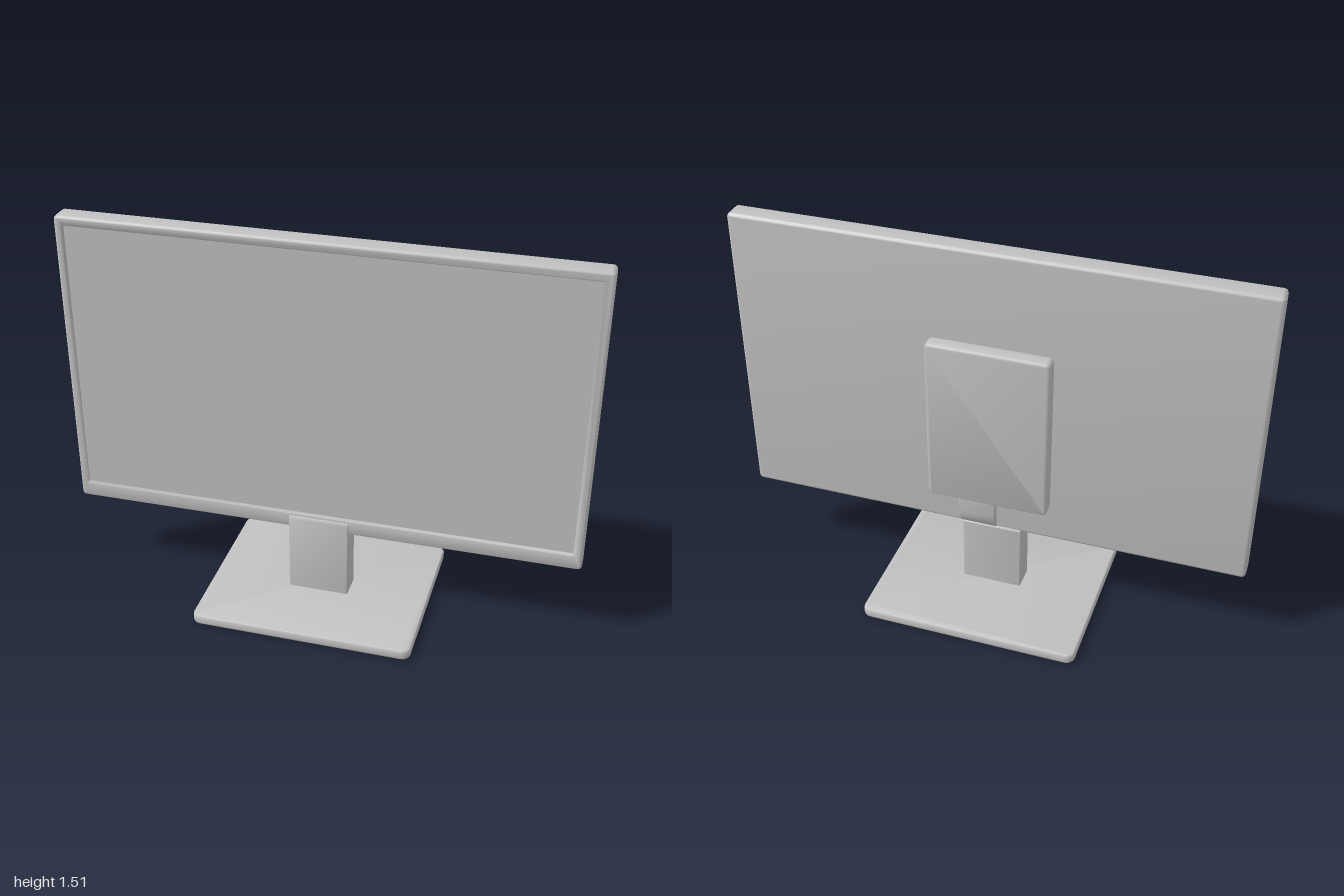
import * as THREE from 'three';
import { toCreasedNormals } from 'three/addons/utils/BufferGeometryUtils.js';

const grey = new THREE.MeshStandardMaterial({ color: 0xc0c0c0 });
grey.name = 'light grey plastic';

// Outline of a rectangle with rounded corners, counter-clockwise
function roundedRect(x0, x1, y0, y1, r, steps = 4) {
  const points = [];
  const corners = [[x1 - r, y1 - r], [x0 + r, y1 - r], [x0 + r, y0 + r], [x1 - r, y0 + r]];
  corners.forEach(([cx, cy], i) => {
    for (let k = 0; k <= steps; k++) {
      const a = (i + k / steps) * Math.PI / 2;
      points.push(new THREE.Vector2(cx + r * Math.cos(a), cy + r * Math.sin(a)));
    }
  });
  return points;
}

// Skin over successive rounded rectangles [x0, x1, y0, y1, radius, z], capped at both ends
function loft(sections) {
  const rings = sections.map(([x0, x1, y0, y1, r, z]) =>
    roundedRect(x0, x1, y0, y1, r).map(p => new THREE.Vector3(p.x, p.y, z)));
  const n = rings[0].length;
  const pos = [];
  const tri = (...v) => v.forEach(p => pos.push(p.x, p.y, p.z));
  for (let s = 0; s < rings.length - 1; s++) {
    const a = rings[s], b = rings[s + 1];
    for (let i = 0; i < n; i++) {
      const j = (i + 1) % n;
      tri(a[i], a[j], b[j]);
      tri(a[i], b[j], b[i]);
    }
  }
  const first = rings[0], last = rings[rings.length - 1];
  for (let i = 1; i < n - 1; i++) {
    tri(first[0], first[i + 1], first[i]);
    tri(last[0], last[i], last[i + 1]);
  }
  const g = new THREE.BufferGeometry();
  g.setAttribute('position', new THREE.Float32BufferAttribute(pos, 3));
  return toCreasedNormals(g, 0.6);
}

// Sections of a quarter-round edge; dir -1 opens from the back, +1 closes to the front
function edge(x0, x1, y0, y1, r, z, round, dir) {
  const out = [];
  for (let k = 0; k <= 4; k++) {
    const a = (dir < 0 ? 4 - k : k) / 4 * Math.PI / 2;
    const inset = round * (1 - Math.cos(a));
    out.push([x0 + inset, x1 - inset, y0 + inset, y1 - inset,
      Math.max(r - inset, 0.001), z + dir * round * (Math.sin(a) - 1)]);
  }
  return out;
}

// Slab with rounded corners and softened front and back edges
function slab(x0, x1, y0, y1, z0, z1, r, round) {
  return loft([...edge(x0, x1, y0, y1, r, z0, round, -1), ...edge(x0, x1, y0, y1, r, z1, round, 1)]);
}

// Side profile in [z, y], extruded across x
function sideExtrude(profile, x0, x1, bevel) {
  const shape = new THREE.Shape(profile.map(([z, y]) => new THREE.Vector2(-z, y)));
  const g = new THREE.ExtrudeGeometry(shape, {
    depth: x1 - x0 - 2 * bevel, bevelEnabled: true, bevelThickness: bevel,
    bevelSize: bevel, bevelOffset: -bevel, bevelSegments: 3,
  });
  g.rotateY(Math.PI / 2);
  g.translate(x0 + bevel, 0, 0);
  return toCreasedNormals(g, 0.6);
}

export function createModel() {
  const model = new THREE.Group();
  model.name = 'monitor';
  const add = (parent, name, geometry) => {
    const mesh = new THREE.Mesh(geometry, grey);
    mesh.name = name;
    parent.add(mesh);
    return mesh;
  };

  // Display, turned very slightly on its stand
  const display = new THREE.Group();
  display.name = 'display';
  display.rotation.y = 0.006;
  model.add(display);

  // Housing: rounded back, rounded rim, bezel stepping down into the screen recess
  const body = [-1, 1, 0.316, 1.51];
  add(display, 'housingAndScreen', loft([
    ...edge(...body, 0.016, -0.029, 0.014, -1),
    ...edge(...body, 0.016, 0.056, 0.012, 1),
    [-0.972, 0.969, 0.377, 1.478, 0.004, 0.056],
    [-0.968, 0.965, 0.381, 1.474, 0.003, 0.053],
    [-0.967, 0.964, 0.382, 1.473, 0.003, 0.044],
  ]));

  // Mounting plate on the back
  add(display, 'backPlate', slab(-0.24, 0.235, 0.462, 1.14, -0.084, -0.02, 0.02, 0.014));

  // Curved arm from the plate to the underside of the display
  add(model, 'supportArm', sideExtrude([
    [-0.02, 0.49], [-0.058, 0.49], [-0.06, 0.39], [-0.054, 0.36],
    [-0.042, 0.332], [-0.026, 0.318], [-0.008, 0.312], [0.01, 0.312], [0.01, 0.34], [-0.02, 0.36],
  ], -0.027, 0.117, 0.003));

  // Post with a lip that clasps the lower bezel
  add(model, 'post', sideExtrude([
    [0.068, 0.03], [0.068, 0.358], [0.064, 0.367], [0.04, 0.372],
    [0.03, 0.325], [-0.03, 0.325], [-0.035, 0.318], [-0.035, 0.03],
  ], -0.127, 0.111, 0.005));

  // Foot
  const base = add(model, 'base', slab(-0.438, 0.424, -0.356, 0.356, 0.002, 0.042, 0.035, 0.01));
  base.geometry.rotateX(-Math.PI / 2);

  return model;
}
